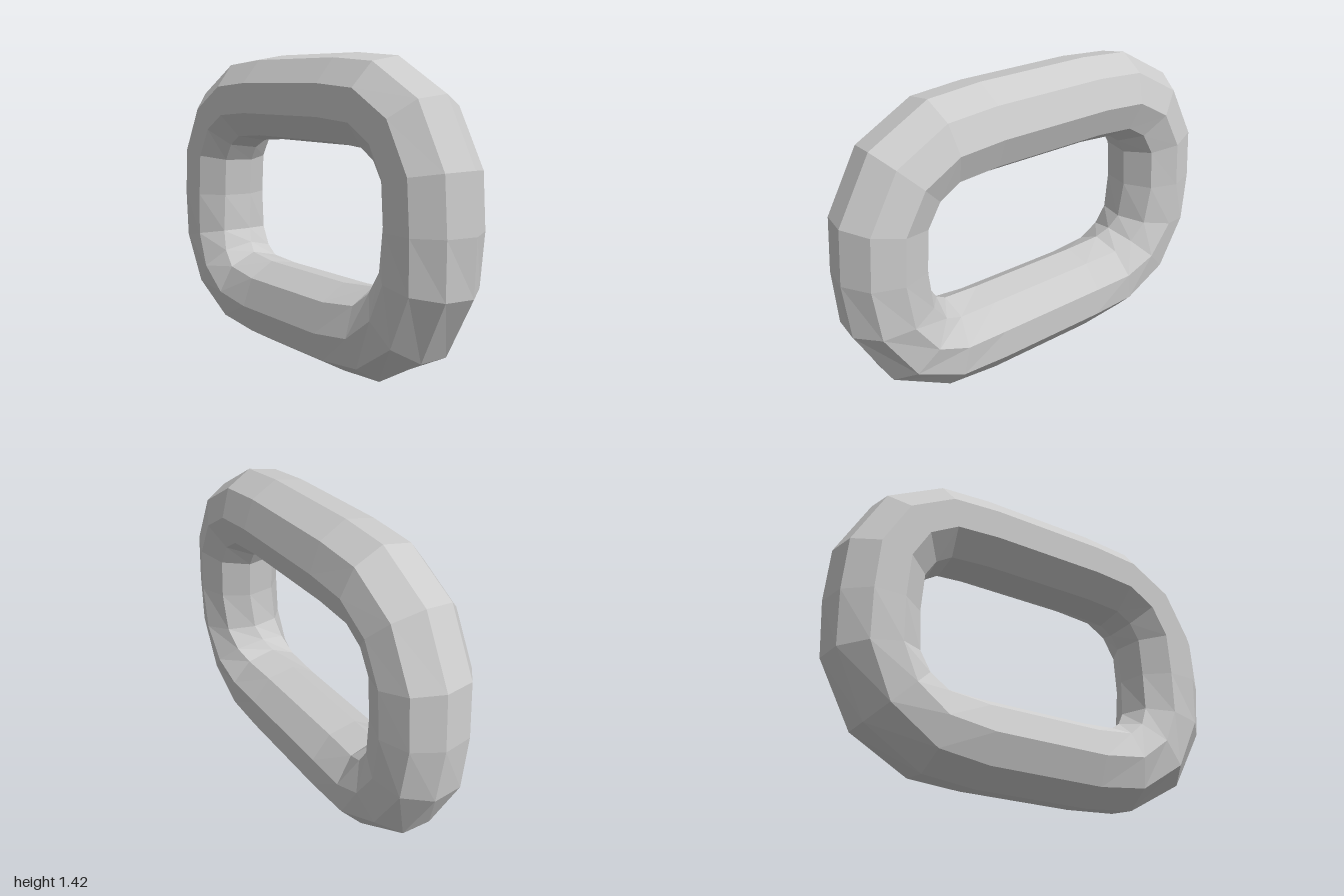
import * as THREE from 'three';

const SIDES = 9, RADIUS = 0.207, MID_Y = 0.714;

// One quarter of the oval centre line: z, height from middle, tilt (degrees), twist share
const QUARTER = [
  [0.793, 0, 0, 0],
  [0.777, 0.216, 10, 0.2],
  [0.677, 0.393, 45, 0.5],
  [0.506, 0.49, 80, 0.83],
  [0.285, 0.507, 90, 1],
];

// Mirror the quarter into a closed loop of rings, running from +z over the top
function makeRings() {
  const rings = [];
  const add = (q, sz, sy) => {
    const t = THREE.MathUtils.degToRad(q[2]);
    rings.push({
      z: q[0] * sz, y: MID_Y + q[1] * sy,
      outZ: Math.cos(t) * sz, outY: Math.sin(t) * sy,
      // the section turns by half a facet along the lower half
      twist: sy < 0 ? THREE.MathUtils.degToRad(-20 * q[3]) : 0,
    });
  };
  QUARTER.forEach((q) => add(q, 1, 1));
  [...QUARTER].reverse().forEach((q) => add(q, -1, 1));
  QUARTER.slice(1).forEach((q) => add(q, -1, -1));
  QUARTER.slice(1).reverse().forEach((q) => add(q, 1, -1));
  return rings;
}

export function createModel() {
  const rings = makeRings();
  const positions = [], index = [];

  // Nine-sided section swept around the loop
  rings.forEach((r, i) => {
    const next = (i + 1) % rings.length;
    for (let j = 0; j < SIDES; j++) {
      const a = (j / SIDES) * Math.PI * 2 + r.twist;
      const out = RADIUS * Math.sin(a);
      positions.push(RADIUS * Math.cos(a), r.y + out * r.outY, r.z + out * r.outZ);
      const k = (j + 1) % SIDES;
      const p = i * SIDES + j, q = next * SIDES + j;
      const s = next * SIDES + k, t = i * SIDES + k;
      index.push(p, q, s, p, s, t);
    }
  });

  const geometry = new THREE.BufferGeometry();
  geometry.setAttribute('position', new THREE.Float32BufferAttribute(positions, 3));
  geometry.setIndex(index);
  geometry.computeVertexNormals();

  const link = new THREE.Mesh(
    geometry,
    new THREE.MeshStandardMaterial({ color: 0xcccccc, flatShading: true })
  );
  link.name = 'chainLink';

  const group = new THREE.Group();
  group.name = 'link';
  group.add(link);
  return group;
}
